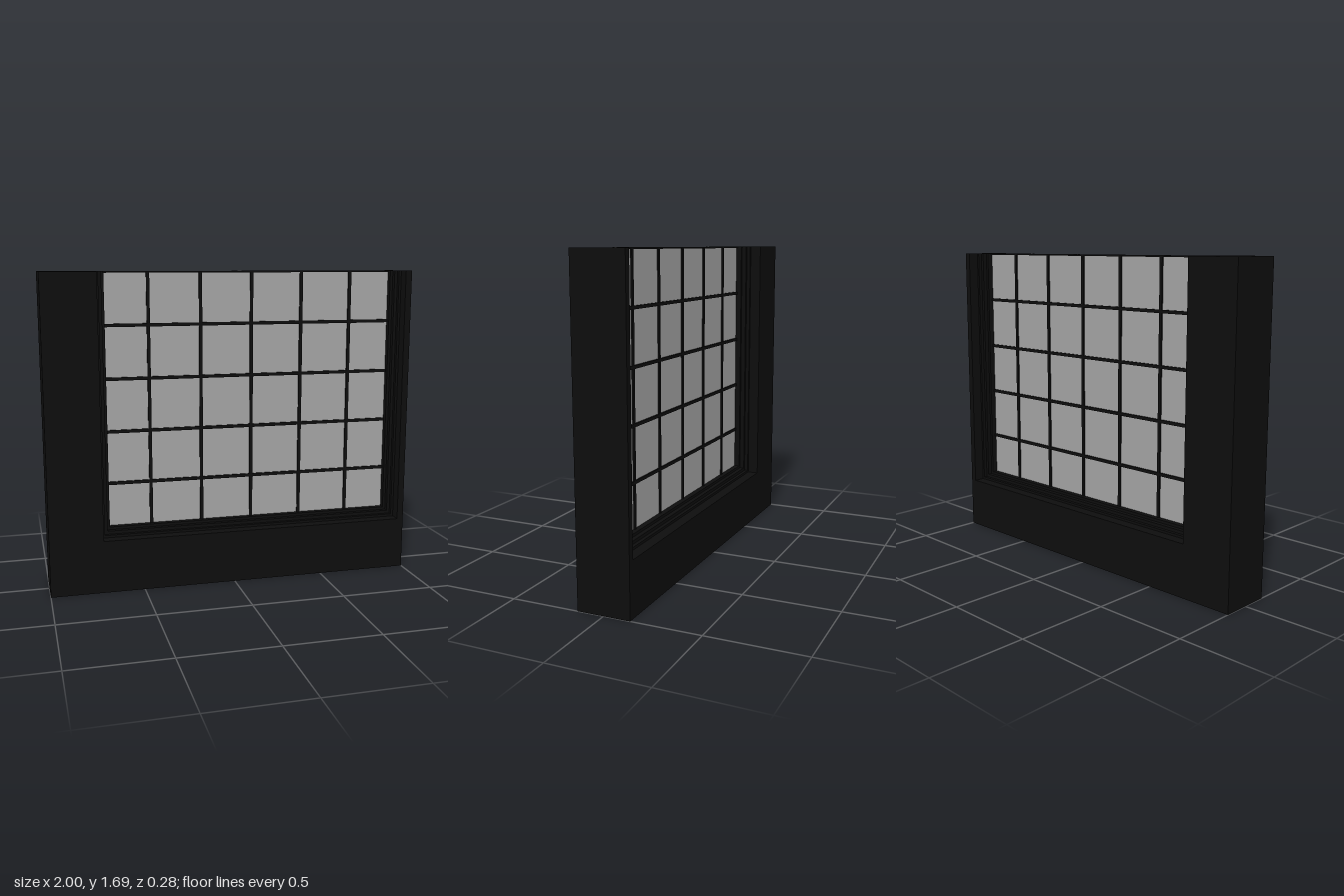
import * as THREE from 'three';

const TOP = 1.69;

export function createModel() {
  const model = new THREE.Group();
  const black = new THREE.MeshStandardMaterial({ color: 0x0d0d0d });
  black.name = 'black frame';
  const grey = new THREE.MeshStandardMaterial({ color: 0xa4a4a4 });
  grey.name = 'grey glass';

  const add = (name, geometry, material, x = 0, y = 0, z = 0) => {
    const mesh = new THREE.Mesh(geometry, material);
    mesh.name = name;
    mesh.position.set(x, y, z);
    model.add(mesh);
  };

  // U-shaped band between an outer and an inner rectangle, open at the top
  const band = (name, outer, inner, depth) => {
    const points = [
      [outer.left, TOP], [outer.left, outer.bottom], [outer.right, outer.bottom], [outer.right, TOP],
      [inner.right, TOP], [inner.right, inner.bottom], [inner.left, inner.bottom], [inner.left, TOP],
    ].map(([x, y]) => new THREE.Vector2(x, y));
    const geometry = new THREE.ExtrudeGeometry(new THREE.Shape(points), { depth, bevelEnabled: false });
    add(name, geometry, black, 0, 0, -depth / 2);
  };
  const opening = (inset) => ({ left: -0.715 + inset, right: 0.965 - inset, bottom: 0.285 + inset });

  // Wall frame: wide left post, narrow right post and sill
  band('wallFrame', { left: -1, right: 1, bottom: 0 }, opening(0), 0.28);

  // Stepped moulding around the opening: [outer inset, inner inset, depth]
  [[0, 0.013, 0.16], [0.013, 0.03, 0.12], [0.03, 0.045, 0.07]].forEach(([a, b, depth], i) =>
    band(`moulding${i + 1}`, opening(a), opening(b), depth));

  // Glass pane
  const { left, right, bottom } = opening(0.045);
  const width = right - left, height = TOP - bottom;
  const midX = (left + right) / 2, midY = (bottom + TOP) / 2;
  add('glass', new THREE.BoxGeometry(width, height, 0.008), grey, midX, midY);

  // Glazing bars on an even grid; the top one is cut in half by the upper edge
  const bar = 0.017, depth = 0.024, pitch = 0.282;
  for (let i = 0; i < 5; i++) {
    add('verticalBar', new THREE.BoxGeometry(bar, height, depth), black, -0.438 + i * pitch, midY);
    const half = i === 4;
    add('horizontalBar', new THREE.BoxGeometry(width, half ? bar / 2 : bar, depth), black,
      midX, half ? TOP - bar / 4 : 0.565 + i * pitch);
  }
  return model;
}
